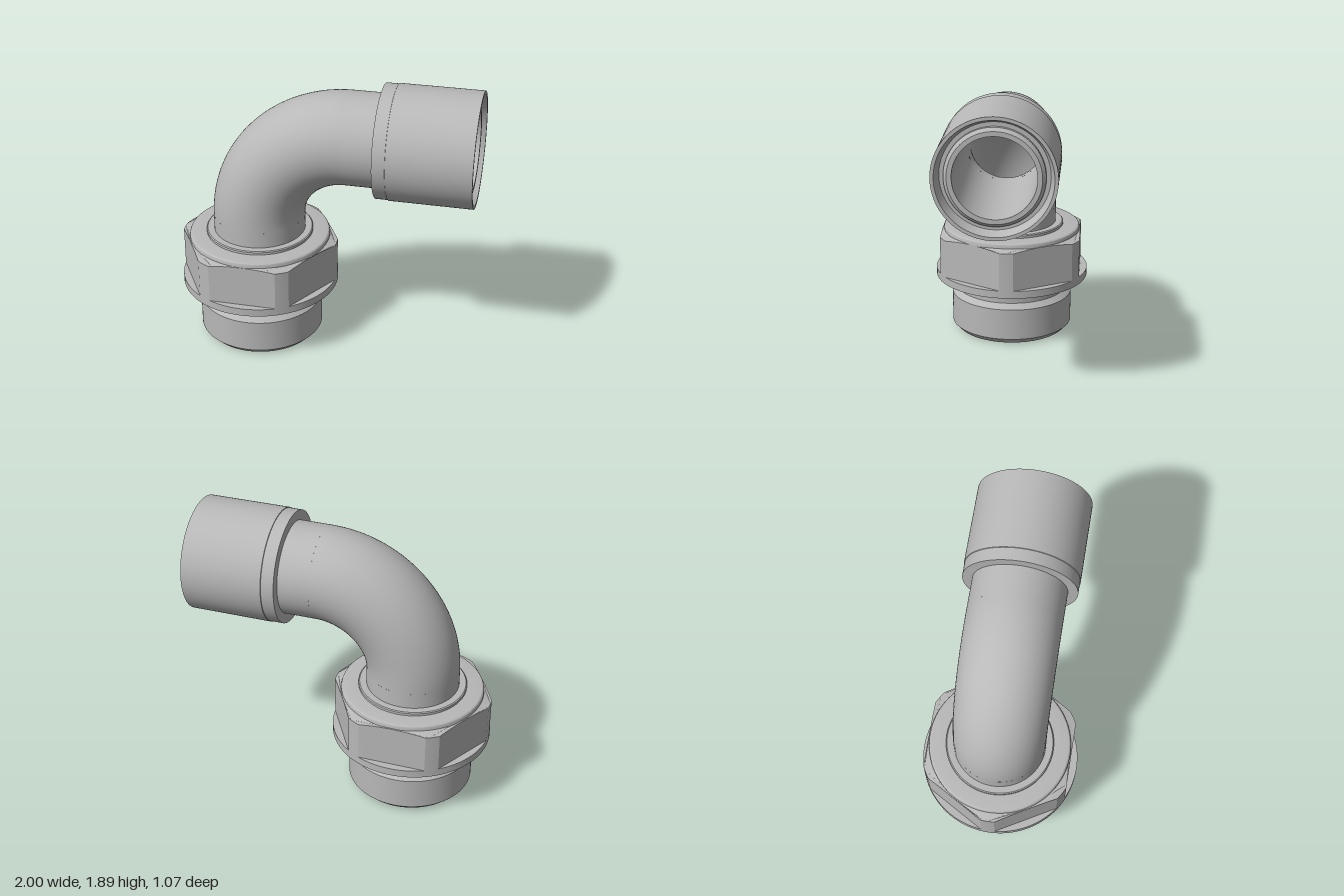
import * as THREE from 'three';
import { toCreasedNormals } from 'three/addons/utils/BufferGeometryUtils.js';

const AXIS_X = -0.465; // vertical axis of the threaded end
const AXIS_Y = 1.512; // height of the horizontal axis
const BEND = 0.62; // centreline radius of the elbow
const PIPE = 0.31;
const BORE = 0.255;
const BEND_X = AXIS_X + BEND;
const BEND_Y = AXIS_Y - BEND;

const metal = new THREE.MeshStandardMaterial({ color: 0xb8b8b8, side: THREE.DoubleSide });
metal.name = 'grey metal';

function part(name, geometry) {
  const mesh = new THREE.Mesh(geometry, metal);
  mesh.name = name;
  return mesh;
}

// Turned part from [radius, height] pairs, keeping sharp edges
function turned(profile) {
  const points = profile.map(([r, h]) => new THREE.Vector2(r, h));
  return toCreasedNormals(new THREE.LatheGeometry(points, 96), 0.4);
}

function upright(name, profile) {
  const mesh = part(name, turned(profile));
  mesh.position.x = AXIS_X;
  return mesh;
}

function sideways(name, profile) {
  const mesh = part(name, turned(profile).rotateZ(-Math.PI / 2));
  mesh.position.y = AXIS_Y;
  return mesh;
}

function elbow(name, radius) {
  const mesh = part(name, new THREE.TorusGeometry(BEND, radius, 64, 48, Math.PI / 2).rotateZ(Math.PI / 2));
  mesh.position.set(BEND_X, BEND_Y, 0);
  return mesh;
}

// Hexagon whose corners are rounded by a cylinder and whose top is cut by a shallow cone
function hexBody() {
  const apothem = 0.485, corner = 0.535, low = 0.44, high = 0.73;
  const outline = [];
  for (let deg = 0; deg < 360; deg += 2.5) {
    const fromFlat = ((deg + 360) % 60) - 30; // flats face 30, 90, 150 ... degrees
    const r = Math.min(corner, apothem / Math.cos(THREE.MathUtils.degToRad(fromFlat)));
    const a = THREE.MathUtils.degToRad(deg);
    outline.push(new THREE.Vector2(r * Math.cos(a), r * Math.sin(a)));
  }
  const shape = new THREE.Shape(outline);
  shape.holes.push(new THREE.Path().absarc(0, 0, 0.47, 0, Math.PI * 2, true));
  const geo = new THREE.ExtrudeGeometry(shape, { depth: high - low, bevelEnabled: false, curveSegments: 72 });
  geo.rotateX(-Math.PI / 2).translate(0, low, 0);
  const p = geo.attributes.position;
  for (let i = 0; i < p.count; i++) {
    if (p.getY(i) < high - 0.01) continue;
    const r = Math.hypot(p.getX(i), p.getZ(i));
    p.setY(i, high - Math.max(0, r - 0.478) * 0.32);
  }
  return toCreasedNormals(geo, 0.12);
}

export function createModel() {
  const model = new THREE.Group();
  model.name = 'elbowFitting';

  // Threaded end with a conical mouth
  model.add(upright('threadedEnd', [
    [0.345, 0], [0.385, 0], [0.423, 0.04], [0.423, 0.26], [0.385, 0.295],
    [0.385, 0.365], [0.39, 0.38], [0.403, 0.392],
  ]));
  model.add(upright('threadedEndBore', [[BORE, BEND_Y], [BORE, 0.4], [0.345, 0]]));

  // Nut: flange, hexagon and rounded crown
  const nut = new THREE.Group();
  nut.name = 'nut';
  nut.add(upright('nutFlange', [[0.38, 0.39], [0.535, 0.39], [0.535, 0.443], [0.46, 0.443]]));
  const hex = part('nutHexagon', hexBody());
  hex.position.x = AXIS_X;
  nut.add(hex);
  nut.add(upright('nutCrown', [
    [0.478, 0.715], [0.478, 0.742], [0.474, 0.753], [0.467, 0.759], [0.458, 0.761], [0.33, 0.761],
  ]));
  model.add(nut);

  // Collar where the pipe leaves the nut
  model.add(upright('collar', [[0.362, 0.755], [0.362, 0.778], [0.355, 0.784], [0.3, 0.784]]));

  // Bent pipe, outside and inside
  model.add(upright('lowerPipe', [[PIPE, 0.76], [PIPE, BEND_Y]]));
  model.add(elbow('bend', PIPE));
  model.add(elbow('bendBore', BORE));
  model.add(sideways('upperPipe', [[PIPE, BEND_X], [PIPE, 0.37]]));

  // Sleeve with a conical rim, recess and inner tube end
  model.add(sideways('sleeve', [
    [0.3, 0.365], [0.376, 0.365], [0.376, 0.45], [0.38, 0.452], [0.38, 1],
    [0.358, 1], [0.333, 0.93], [0.306, 0.93],
  ]));
  model.add(sideways('innerTube', [
    [0.306, 0.93], [0.306, 0.955], [0.285, 0.975], [BORE, 0.975], [BORE, BEND_X],
  ]));

  return model;
}
